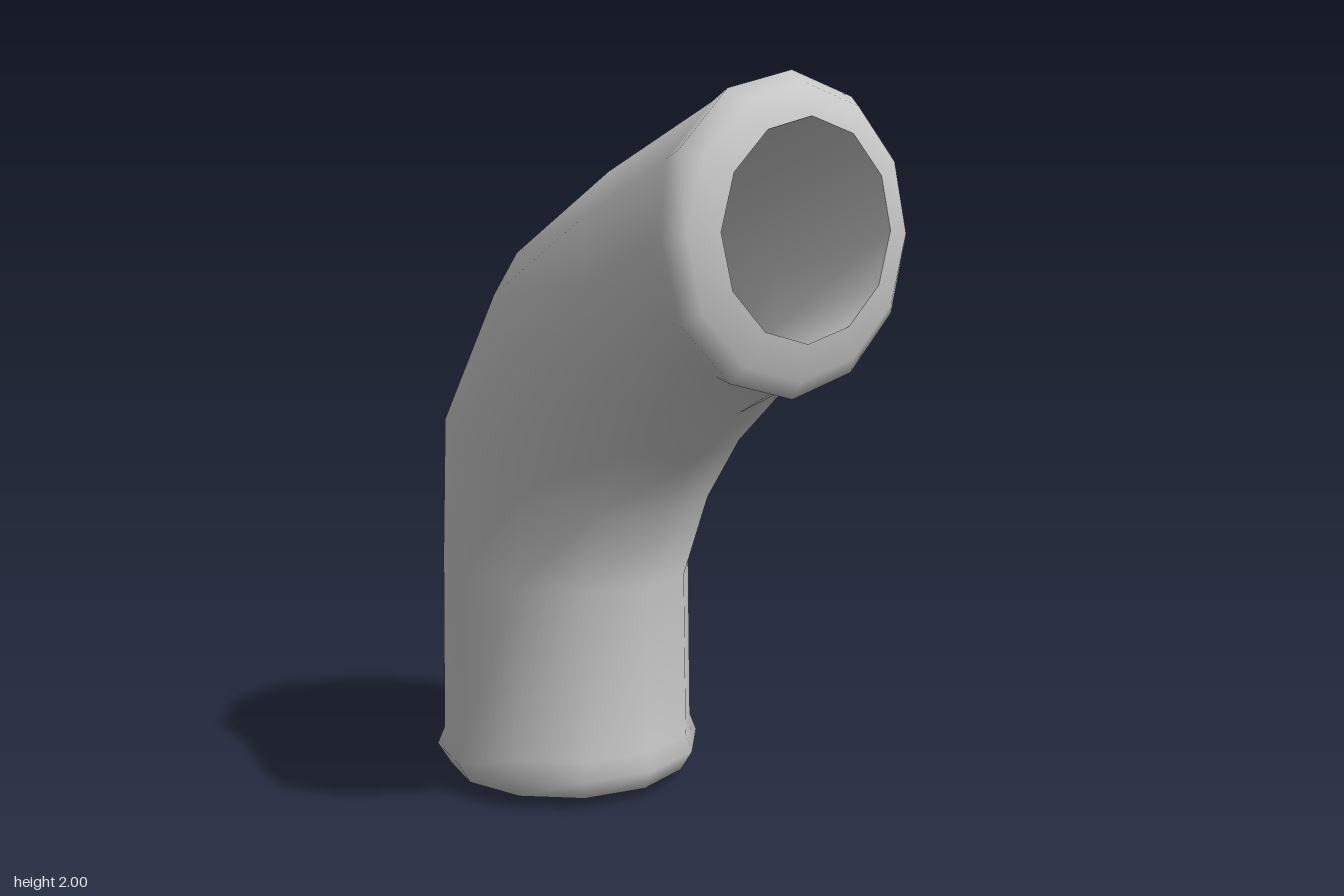
import * as THREE from 'three';

const SIDES = 12;

// Cross-sections along the elbow: [inner-bend y, z, outer-bend y, z, half width in x]
const bottomRim = [
  [0, -0.02, 0, -0.56, 0.27],
  [0.03, 0.07, 0.03, -0.645, 0.36],
  [0.09, 0.105, 0.09, -0.685, 0.395],
  [0.14, 0.085, 0.14, -0.663, 0.375],
];
const bend = [
  [0.62, 0.075, 0.69, -0.655, 0.368],
  [0.84, 0.155, 1.16, -0.585, 0.405],
  [1.0, 0.27, 1.59, -0.285, 0.405],
  [1.15, 0.44, 1.81, 0.12, 0.37],
];
const topRim = [
  [1.22, 0.575, 1.97, 0.55, 0.4],
  [1.205, 0.635, 2.0, 0.615, 0.42],
  [1.25, 0.664, 1.967, 0.662, 0.375],
  [1.345, 0.685, 1.888, 0.685, 0.29],
];

// Shrinks a cross-section about its centre
function shrink([y0, z0, y1, z1, w], k) {
  const cy = (y0 + y1) / 2, cz = (z0 + z1) / 2;
  return [cy + (y0 - cy) * k, cz + (z0 - cz) * k, cy + (y1 - cy) * k, cz + (z1 - cz) * k, w * k];
}

// Skins a list of cross-sections into a smooth tube
function skin(rings, inward) {
  const pos = [], idx = [];
  for (const [y0, z0, y1, z1, w] of rings) {
    for (let j = 0; j < SIDES; j++) {
      const a = (j / SIDES) * Math.PI * 2;
      const t = (1 + Math.cos(a)) / 2;
      pos.push(w * Math.sin(a), y0 + (y1 - y0) * t, z0 + (z1 - z0) * t);
    }
  }
  for (let i = 0; i < rings.length - 1; i++) {
    for (let j = 0; j < SIDES; j++) {
      const k = (j + 1) % SIDES;
      const a = i * SIDES + j, b = i * SIDES + k, c = a + SIDES, d = b + SIDES;
      if (inward) idx.push(a, b, c, b, d, c);
      else idx.push(a, c, b, b, c, d);
    }
  }
  const g = new THREE.BufferGeometry();
  g.setAttribute('position', new THREE.Float32BufferAttribute(pos, 3));
  g.setIndex(idx);
  g.computeVertexNormals();
  return g;
}

export function createModel() {
  const group = new THREE.Group();
  group.name = 'pipeElbow';
  const material = new THREE.MeshStandardMaterial({ color: 0xcccccc, side: THREE.DoubleSide });

  // Outer wall with a rounded lip at each end
  const outer = new THREE.Mesh(skin([...bottomRim, ...bend, ...topRim], false), material);
  outer.name = 'outerWall';

  // Bore running between the two openings
  const bore = [bottomRim[0], ...bend.map((r) => shrink(r, 0.74)), topRim[topRim.length - 1]];
  const inner = new THREE.Mesh(skin(bore, true), material);
  inner.name = 'innerBore';

  group.add(outer, inner);
  return group;
}
